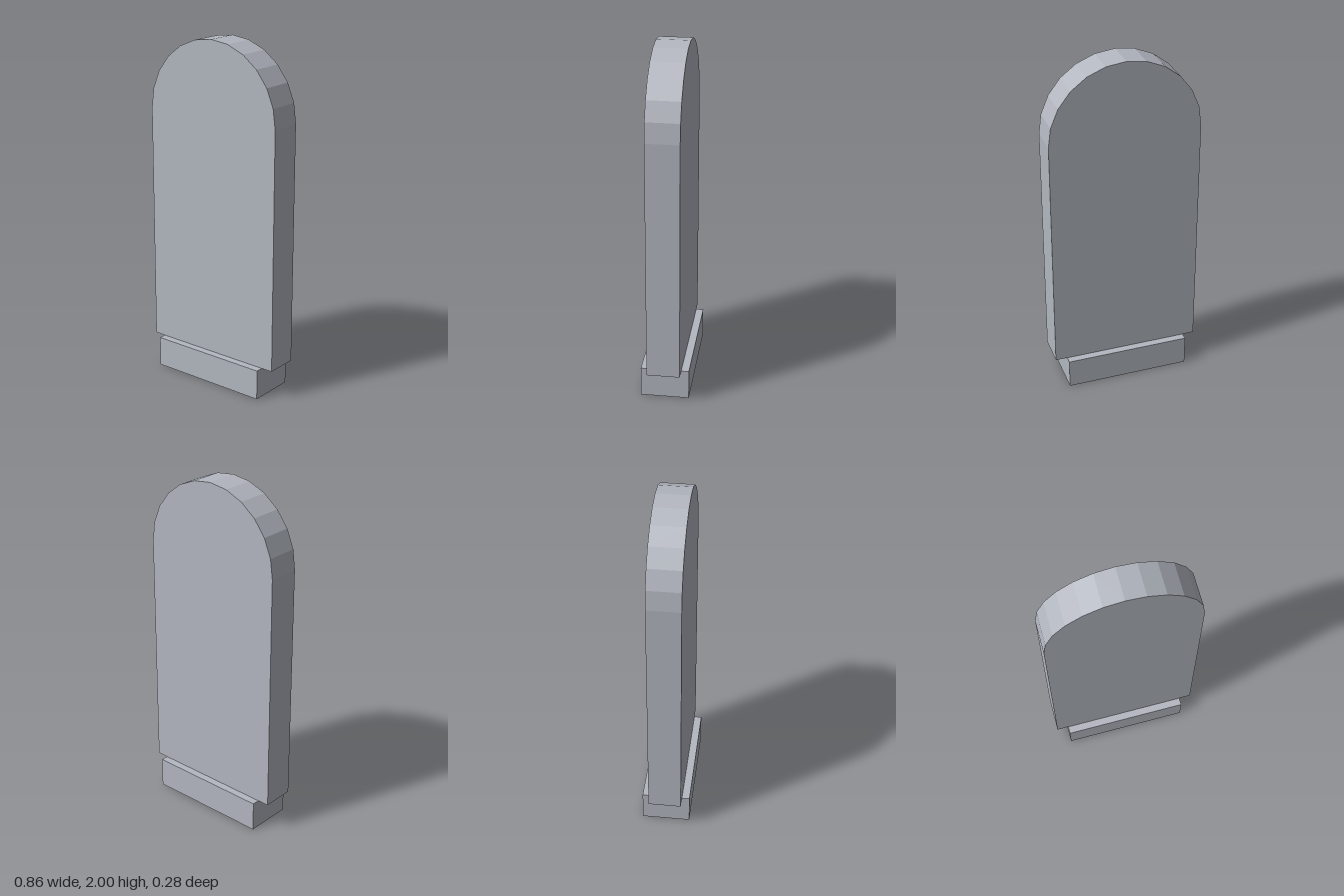
import * as THREE from 'three';

export function createModel() {
  const group = new THREE.Group();
  const stone = new THREE.MeshStandardMaterial({ color: 0xb3b7c0, flatShading: true });
  stone.name = 'pale grey stone';

  // Foot block under the slab
  const baseHeight = 0.176;
  const base = new THREE.Mesh(new THREE.BoxGeometry(0.726, baseHeight, 0.276), stone);
  base.name = 'base';
  base.position.y = baseHeight / 2;
  group.add(base);

  // Upright slab with a faceted half-round top
  const radius = 0.432, depth = 0.188, facets = 12;
  const outline = new THREE.Shape();
  outline.moveTo(-radius, baseHeight);
  outline.lineTo(radius, baseHeight);
  for (let i = 0; i <= facets; i++) {
    const a = (i / facets) * Math.PI;
    outline.lineTo(radius * Math.cos(a), 2 - radius + radius * Math.sin(a));
  }
  outline.closePath();
  const slabGeometry = new THREE.ExtrudeGeometry(outline, { depth, bevelEnabled: false });
  slabGeometry.translate(0, 0, -depth / 2);
  const slab = new THREE.Mesh(slabGeometry, stone);
  slab.name = 'slab';
  group.add(slab);

  return group;
}
